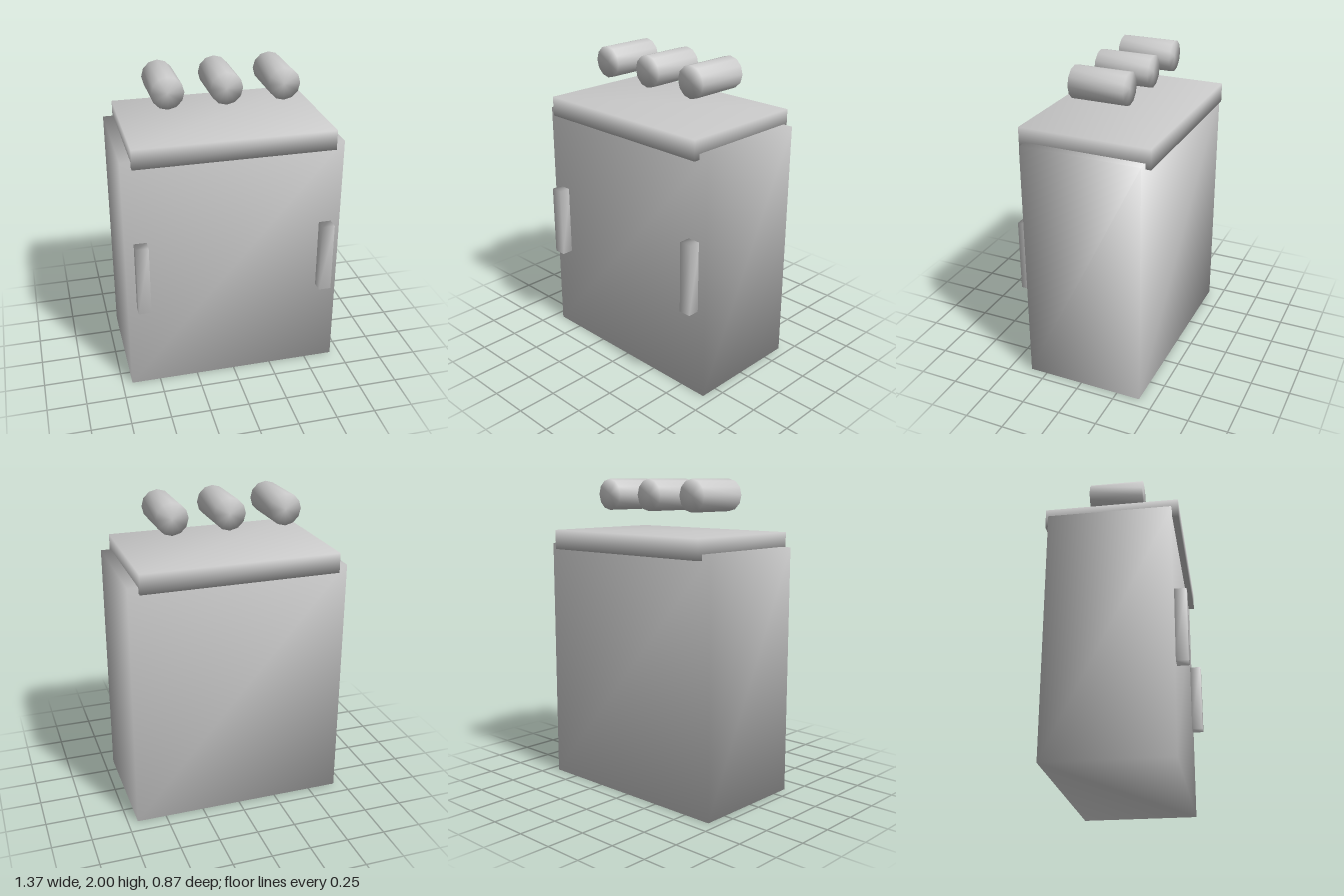
import * as THREE from 'three';
import { mergeVertices } from 'three/addons/utils/BufferGeometryUtils.js';

const material = new THREE.MeshStandardMaterial({ color: 0xcccccc });

// Welds corners so that the shading runs smoothly over every edge
function weld(geometry) {
  geometry.deleteAttribute('normal');
  geometry.deleteAttribute('uv');
  const welded = mergeVertices(geometry, 1e-4);
  welded.computeVertexNormals();
  return welded;
}

function part(name, geometry, x, y, z) {
  const mesh = new THREE.Mesh(weld(geometry), material);
  mesh.name = name;
  mesh.position.set(x, y, z);
  return mesh;
}

// Box given by its width about x and its ranges in y and z
function box(name, x, width, [y0, y1], [z0, z1]) {
  const geometry = new THREE.BoxGeometry(width, y1 - y0, z1 - z0);
  return part(name, geometry, x, (y0 + y1) / 2, (z0 + z1) / 2);
}

export function createModel() {
  const model = new THREE.Group();
  model.name = 'cabinet';

  // Cabinet body and overhanging top panel
  model.add(box('body', 0, 1.374, [0, 1.58], [-0.402, 0.362]));
  model.add(box('topPanel', 0, 1.244, [1.545, 1.67], [-0.435, 0.4]));

  // Upright handles on the front
  for (const [name, side] of [['leftHandle', 1], ['rightHandle', -1]]) {
    model.add(box(name, side * 0.59, 0.08, [0.58, 1.04], [0.355, 0.435]));
  }

  // Row of rollers floating above the top, lying front to back
  ['rightRoller', 'middleRoller', 'leftRoller'].forEach((name, i) => {
    const roller = new THREE.CylinderGeometry(0.1, 0.1, 0.347, 12).rotateX(Math.PI / 2);
    model.add(part(name, roller, (i - 1) * 0.357, 1.9, -0.018));
  });

  return model;
}
